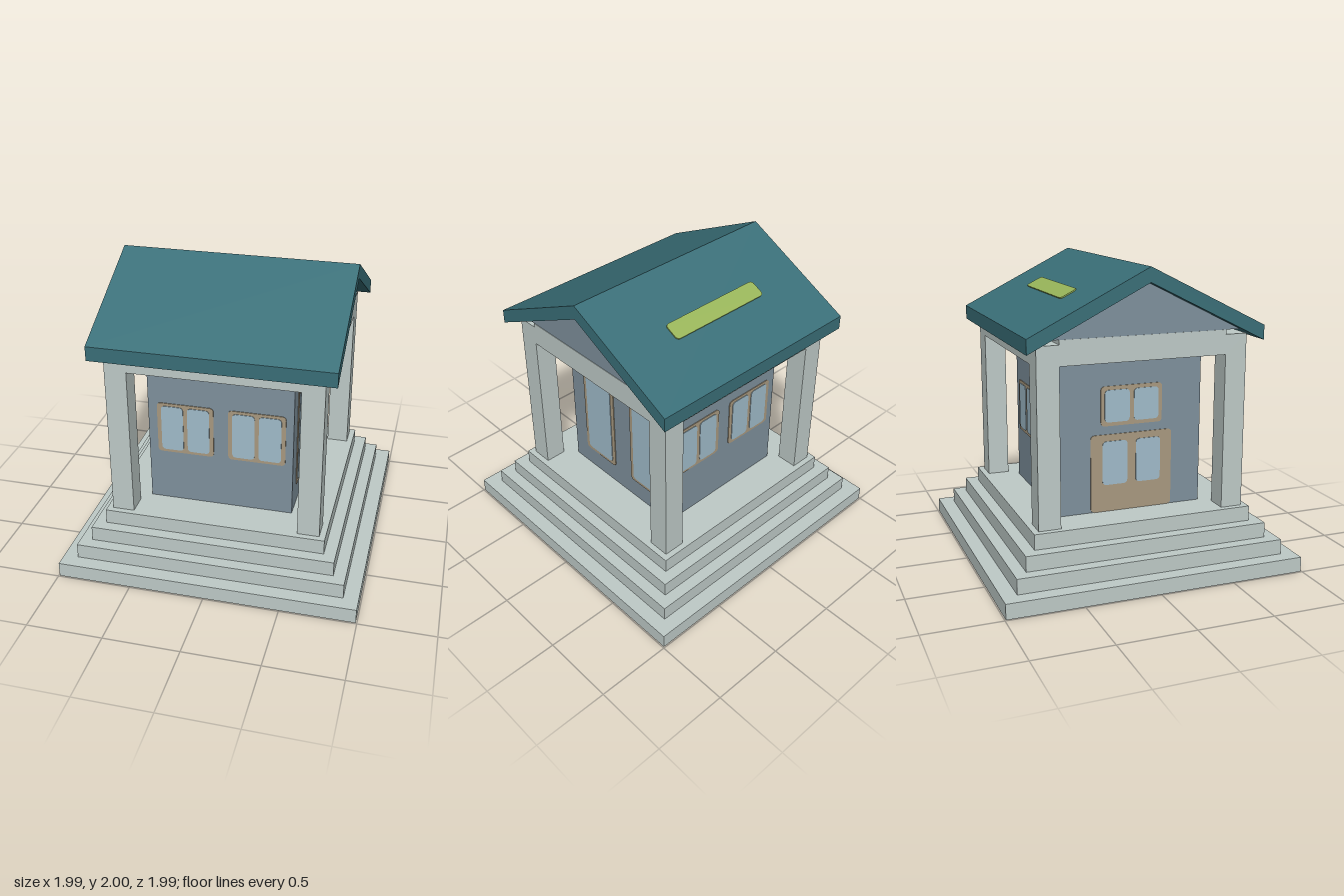
import * as THREE from 'three';

const mat = (name, color, extra = {}) => {
  const m = new THREE.MeshStandardMaterial({ color, ...extra });
  m.name = name;
  return m;
};

export function createModel() {
  const model = new THREE.Group();
  model.name = 'pavilion';
  const stone = mat('stone', 0xbfcbc8);
  stone.side = THREE.DoubleSide;
  const wall = mat('wall', 0x7f919d);
  const roofing = mat('roofing', 0x3a6f78);
  const trim = mat('trim', 0xa99a81);
  const glass = mat('glass', 0xa1bccb);
  const accent = mat('accent', 0x99b65a);

  const add = (parent, name, geometry, material, x = 0, y = 0, z = 0) => {
    const mesh = new THREE.Mesh(geometry, material);
    mesh.name = name;
    mesh.position.set(x, y, z);
    parent.add(mesh);
    return mesh;
  };
  const box = (name, material, w, h, d, x, y, z) =>
    add(model, name, new THREE.BoxGeometry(w, h, d), material, x, y, z);

  // thin plate with rounded corners, spanning x0..x1 and y0..y1
  const plate = (parent, name, material, x0, x1, y0, y1, depth, r = 0.025) => {
    const s = new THREE.Shape();
    s.moveTo(x0 + r, y0);
    s.lineTo(x1 - r, y0);
    s.absarc(x1 - r, y0 + r, r, -Math.PI / 2, 0);
    s.absarc(x1 - r, y1 - r, r, 0, Math.PI / 2);
    s.absarc(x0 + r, y1 - r, r, Math.PI / 2, Math.PI);
    s.absarc(x0 + r, y0 + r, r, Math.PI, Math.PI * 1.5);
    const g = new THREE.ExtrudeGeometry(s, { depth, bevelEnabled: false, curveSegments: 4 });
    return add(parent, name, g, material);
  };

  // lowest step: a hollow, open-bottomed plinth
  const R = 0.993;
  for (let i = 0; i < 4; i++) {
    const a = (i * Math.PI) / 2;
    const side = add(model, 'plinthSide', new THREE.PlaneGeometry(2 * R, 0.1), stone,
      Math.sin(a) * R, 0.05, Math.cos(a) * R);
    side.rotation.y = a;
  }
  box('plinthTop', stone, 2 * R, 0.01, 2 * R, 0, 0.095, 0);

  // upper steps
  [0.895, 0.815, 0.737].forEach((r, i) =>
    box('step', stone, 2 * r, 0.1, 2 * r, 0, 0.15 + i * 0.1, 0));

  // corner columns and the ring beam they carry
  const outer = 0.697, inner = 0.552, t = outer - inner, mid = (outer + inner) / 2;
  for (const sx of [-1, 1]) {
    for (const sz of [-1, 1]) {
      box('column', stone, t, 1.02, t, sx * mid, 0.91, sz * mid);
    }
    box('sideBeam', stone, t, 0.16, 2 * inner, sx * mid, 1.5, 0);
    box('crossBeam', stone, 2 * outer, 0.13, t, 0, 1.485, sx * mid);
  }

  // gabled roof: chevron section swept along x
  const half = 0.777;
  const sweep = (points, length) => {
    const s = new THREE.Shape(points.map(([z, y]) => new THREE.Vector2(-z, y)));
    const g = new THREE.ExtrudeGeometry(s, { depth: length, bevelEnabled: false });
    g.translate(0, 0, -length / 2);
    g.rotateY(Math.PI / 2);
    return g;
  };
  add(model, 'roof', sweep([[-half, 1.515], [0, 1.905], [half, 1.515],
    [half, 1.61], [0, 2], [-half, 1.61]], 2 * half), roofing);

  // gable infill at both ends
  for (const s of [-1, 1]) {
    add(model, 'gable', sweep([[-0.65, 1.58], [0.65, 1.58], [0, 1.908]], 0.1), wall, s * 0.645);
  }

  // plain accent band lying on the back slope
  const slope = Math.atan(0.39 / half);
  const band = plate(model, 'roofBand', accent, -0.39, 0.36, -0.06, 0.06, 0.008, 0.025);
  band.position.set(0, 2 - 0.385 * Math.tan(slope), -0.385);
  band.rotation.set(-Math.PI / 2 - slope, 0, 0);

  // inner room
  const room = new THREE.Group();
  room.name = 'room';
  room.position.set(-0.01, 0, -0.006);
  model.add(room);
  const h = 0.485;
  add(room, 'roomWalls', new THREE.BoxGeometry(2 * h, 1.1, 2 * h), wall, 0, 0.95, 0);

  // a group on each wall, with local +z pointing outward
  const face = (name, angle) => {
    const g = new THREE.Group();
    g.name = name;
    g.rotation.y = angle;
    g.position.set(Math.sin(angle) * h, 0, Math.cos(angle) * h);
    room.add(g);
    return g;
  };
  // a framed opening with glass panes given as [x0, x1]
  const glazed = (parent, name, [x0, x1, y0, y1], panes, p0, p1) => {
    plate(parent, name + 'Frame', trim, x0, x1, y0, y1, 0.005);
    panes.forEach(([a, b]) => plate(parent, name + 'Pane', glass, a, b, p0, p1, 0.009));
  };

  // front and back: two double windows each
  for (const [name, angle] of [['frontWindows', 0], ['backWindows', Math.PI]]) {
    const f = face(name, angle);
    for (const c of [-0.234, 0.244]) {
      glazed(f, 'window', [c - 0.19, c + 0.19, 0.76, 1.12],
        [[c - 0.162, c - 0.014], [c + 0.014, c + 0.162]], 0.78, 1.1);
    }
  }

  // one side: two tall windows
  const tall = face('tallWindows', Math.PI / 2);
  for (const c of [-0.206, 0.262]) {
    glazed(tall, 'tallWindow', [c - 0.153, c + 0.153, 0.54, 1.26],
      [[c - 0.123, c + 0.123]], 0.565, 1.23);
  }

  // other side: a double door with a small window above
  const entry = face('entrance', -Math.PI / 2);
  glazed(entry, 'door', [-0.28, 0.28, 0.4, 0.915], [[-0.2, -0.03], [0.03, 0.2]], 0.58, 0.87);
  glazed(entry, 'transom', [-0.21, 0.21, 0.97, 1.23], [[-0.185, -0.015], [0.015, 0.185]], 0.995, 1.205);

  return model;
}
